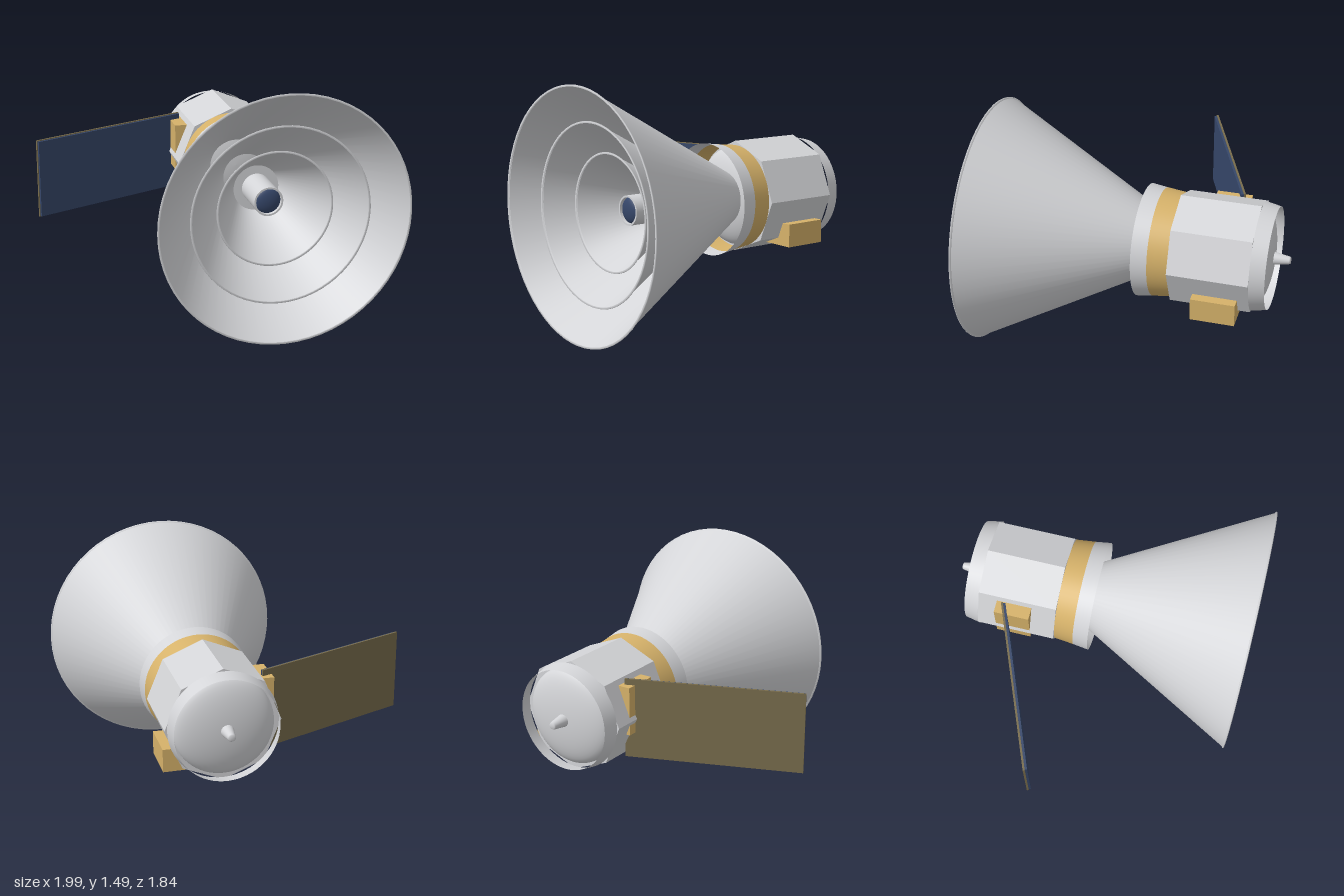
import * as THREE from 'three';

const mat = (name, color, side = THREE.FrontSide) => {
  const m = new THREE.MeshStandardMaterial({ color, side });
  m.name = name;
  return m;
};

export function createModel() {
  const grey = mat('lightGrey', 0xd4d5d8, THREE.DoubleSide);
  const gold = mat('goldFoil', 0xd6b26a, THREE.DoubleSide);
  const blue = mat('solarBlue', 0x36476a, THREE.DoubleSide);
  const bronze = mat('panelBronze', 0x786c4c);

  const root = new THREE.Group();
  root.name = 'satellite';
  // Everything round shares one axis along z
  const hull = new THREE.Group();
  hull.name = 'hull';
  hull.position.set(0.25, 0.746, 0);
  root.add(hull);

  const add = (parent, name, geometry, material) => {
    const mesh = new THREE.Mesh(geometry, material);
    mesh.name = name;
    parent.add(mesh);
    return mesh;
  };
  // Surface of revolution from [radius, z] points
  const turned = (name, points, material) => add(hull, name,
    new THREE.LatheGeometry(points.map(([r, z]) => new THREE.Vector2(r, z)), 64).rotateX(Math.PI / 2), material);
  // Shallow dome from a rim circle to an apex
  const dome = (name, r, zRim, zApex, material) => {
    const points = [];
    for (let i = 0; i <= 12; i++) {
      const a = (i / 12) * Math.PI / 2;
      points.push([r * Math.cos(a), zRim + (zApex - zRim) * Math.sin(a)]);
    }
    if (zApex < zRim) points.reverse();
    turned(name, points, material);
  };
  const box = (name, [x0, x1], [y0, y1], [z0, z1], material) => {
    const mesh = add(root, name, new THREE.BoxGeometry(x1 - x0, y1 - y0, z1 - z0), material);
    mesh.position.set((x0 + x1) / 2, (y0 + y1) / 2, (z0 + z1) / 2);
  };

  // Octagonal body
  const body = new THREE.CylinderGeometry(0.34, 0.34, 0.48, 8).toNonIndexed();
  body.computeVertexNormals();
  body.rotateX(Math.PI / 2).translate(0, 0, -0.49);
  add(hull, 'body', body, grey);

  // Open collars with domes inside them
  turned('frontCollar', [[0.327, -0.13], [0.34, -0.035]], grey);
  turned('goldBand', [[0.314, -0.25], [0.327, -0.13]], gold);
  turned('rearCollar', [[0.307, -0.82], [0.325, -0.73]], grey);
  dome('frontDome', 0.3, -0.25, -0.14, grey);
  dome('rearDome', 0.295, -0.73, -0.82, grey);

  // Thruster
  turned('thruster', [[0, -0.918], [0.018, -0.918], [0.023, -0.91], [0.038, -0.82], [0.045, -0.78]], grey);

  // Three nested horns, each with a thin rim
  const horns = [
    ['outerHorn', 0.735, 0.905, 0.14, -0.2],
    ['middleHorn', 0.525, 0.8, 0.14, 0.07],
    ['innerHorn', 0.34, 0.68, 0.14, 0.3],
  ];
  for (const [name, rRim, zRim, rBase, zBase] of horns) {
    turned(name, [[rBase, zBase], [rRim, zRim]], grey);
    turned(name + 'Rim', [[rRim, zRim], [rRim + 0.01, zRim + 0.006], [rRim + 0.008, zRim + 0.012],
      [rRim - 0.002, zRim + 0.01]], grey);
  }
  turned('hornFloor', [[0.14, 0.3], [0, 0.3]], grey);

  // Feed tube with its blue lens
  turned('feedTube', [[0.088, 0.3], [0.088, 0.56]], grey);
  turned('feedTubeRim', [[0.088, 0.56], [0.077, 0.56]], grey);
  turned('feedTubeInside', [[0.077, 0.56], [0.077, 0.53]], grey);
  dome('lens', 0.077, 0.535, 0.565, blue);

  // Equipment boxes
  box('leftBox', [0.37, 0.588], [0.46, 0.6], [-0.66, -0.395], gold);
  box('rightBox', [-0.08, 0.03], [0.66, 0.955], [-0.615, -0.4], gold);

  // Angled solar panel: blue cells in front, bronze backing behind
  const panel = new THREE.Group();
  panel.name = 'solarPanel';
  panel.position.set(-0.505, 0.746, -0.375);
  panel.rotation.y = Math.atan2(0.39, 0.97);
  root.add(panel);
  add(panel, 'solarCells', new THREE.BoxGeometry(1.04, 0.48, 0.014), blue).position.z = 0.006;
  add(panel, 'panelBacking', new THREE.BoxGeometry(1.05, 0.49, 0.012), bronze).position.z = -0.007;

  return root;
}
